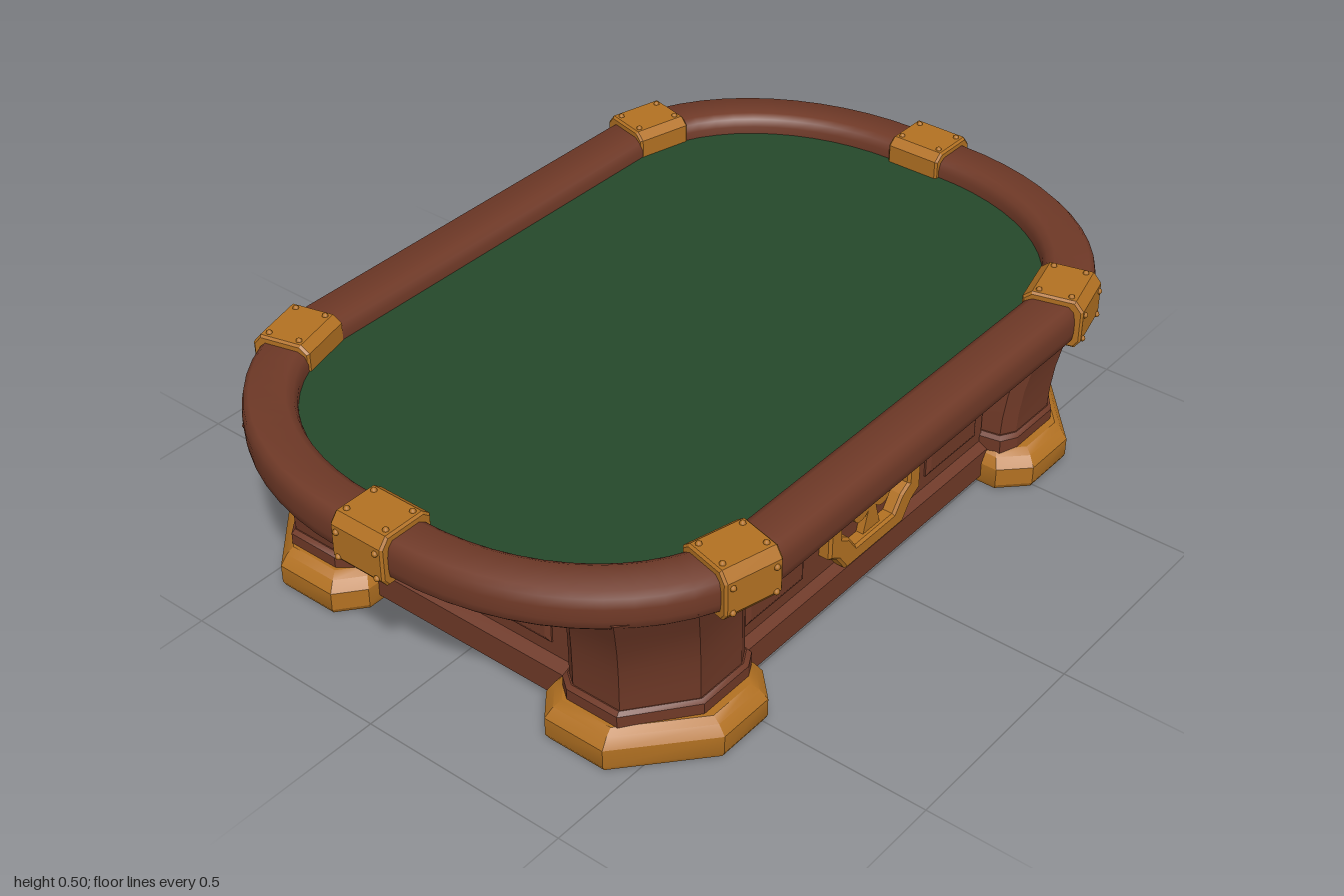
import * as THREE from 'three';
import { toCreasedNormals } from 'three/addons/utils/BufferGeometryUtils.js';

const mat = (name, color) => Object.assign(new THREE.MeshStandardMaterial({ color }), { name });

// Loft through rings of [x, z] points, each ring at its own y; counter-clockwise seen from above
function loft(rings, caps = true, crease = 0.6) {
  const n = rings[0].pts.length, pos = [], idx = [];
  rings.forEach(({ y, pts }) => pts.forEach(([x, z]) => pos.push(x, y, z)));
  for (let r = 0; r < rings.length - 1; r++) {
    for (let i = 0; i < n; i++) {
      const j = (i + 1) % n, a = r * n + i, b = r * n + j;
      idx.push(a, b, b + n, a, b + n, a + n);
    }
  }
  if (caps) {
    const top = (rings.length - 1) * n;
    for (let i = 1; i < n - 1; i++) idx.push(0, i + 1, i, top, top + i, top + i + 1);
  }
  const g = new THREE.BufferGeometry();
  g.setAttribute('position', new THREE.Float32BufferAttribute(pos, 3));
  g.setIndex(idx);
  return toCreasedNormals(g, crease);
}

// Mirror a corner outline into another quadrant, keeping its winding
const quadrant = (pts, sx, sz) => {
  const m = pts.map(([x, z]) => [x * sx, z * sz]);
  return sx * sz < 0 ? m.reverse() : m;
};
const scaled = (pts, s, cx = 0.41, cz = 0.6) => pts.map(([x, z]) => [cx + (x - cx) * s, cz + (z - cz) * s]);

// Rounded table outline: t = 0 is the inner edge of the rail, t = 1 the outer edge
function outline(t) {
  const corner = [], rx = 0.465 + 0.12 * t, rz = 0.367 + 0.11 * t;
  for (let i = 0; i <= 14; i++) {
    const a = (i / 14) * Math.PI / 2;
    corner.push([0.07 + rx * Math.sin(a), 0.5 + rz * Math.cos(a)]);
  }
  return [[1, 1], [1, -1], [-1, -1], [-1, 1]].flatMap(([sx, sz]) => quadrant(corner, sx, sz));
}

export function createModel() {
  const root = new THREE.Group();
  root.name = 'cardTable';
  const wood = mat('wood', 0x6f3927), brass = mat('brass', 0xb27122), felt = mat('felt', 0x25482a);
  const add = (name, geo, material, parent = root) => {
    const m = new THREE.Mesh(geo, material);
    m.name = name;
    parent.add(m);
    return m;
  };

  // Padded rail
  const section = [[0.04, 0.398], [0.92, 0.395], [0.98, 0.402], [1, 0.42], [1, 0.448], [0.96, 0.47], [0.86, 0.481],
    [0.2, 0.481], [0.06, 0.472], [0, 0.455], [0, 0.41], [0.04, 0.398]];
  add('rail', loft(section.map(([t, y]) => ({ y, pts: outline(t) })), false, 0.8), wood);

  // Playing surface
  const top = outline(0.08);
  add('playingSurface', loft([{ y: 0.415, pts: top }, { y: 0.437, pts: top }]), felt);

  // Body: eight-sided box with skirting and flared cornice
  const octagon = (x, z) => [[1, 1], [1, -1], [-1, -1], [-1, 1]]
    .flatMap(([sx, sz]) => quadrant([[0.28, z], [x, 0.45]], sx, sz));
  const walls = [[0.02, 0.51, 0.72], [0.085, 0.51, 0.72], [0.1, 0.49, 0.695], [0.31, 0.49, 0.695],
    [0.32, 0.505, 0.715], [0.36, 0.515, 0.725], [0.415, 0.55, 0.76]];
  add('body', loft(walls.map(([y, x, z]) => ({ y, pts: octagon(x, z) })), true, 0.3), wood);
  add('underside', loft([0.016, 0.02].map(y => ({ y, pts: octagon(0.505, 0.715) }))), felt);

  // Raised wall panels
  const panel = new THREE.ExtrudeGeometry(
    new THREE.Shape([[-0.085, -0.06], [0.085, -0.06], [0.085, 0.06], [-0.085, 0.06]].map(p => new THREE.Vector2(...p))),
    { depth: 0.004, bevelSize: 0.012, bevelThickness: 0.006, bevelSegments: 1 });
  for (const s of [1, -1]) {
    for (const k of [1, -1]) {
      const end = add('endPanel', panel, wood);
      end.position.set(k * 0.125, 0.205, s * 0.695);
      end.rotation.y = s > 0 ? 0 : Math.PI;
      const side = add('sidePanel', panel, wood);
      side.position.set(s * 0.49, 0.205, k * 0.32);
      side.rotation.y = s * Math.PI / 2;
    }
  }

  // Corner feet, plinths and flared columns
  const foot = [[0.25, 0.66], [0.25, 0.75], [0.3, 0.812], [0.45, 0.812], [0.61, 0.63], [0.61, 0.49], [0.55, 0.43], [0.46, 0.43]];
  const column = [[0.28, 0.65], [0.3, 0.735], [0.33, 0.758], [0.45, 0.758], [0.55, 0.63], [0.55, 0.5], [0.53, 0.465], [0.45, 0.45]];
  const flare = [[0.11, 0], [0.17, 0.04], [0.23, 0.14], [0.29, 0.33], [0.35, 0.65], [0.41, 1]];
  for (const sx of [1, -1]) {
    for (const sz of [1, -1]) {
      const corner = new THREE.Group();
      corner.name = 'cornerLeg';
      root.add(corner);
      const build = (name, rings, m, crease) =>
        add(name, loft(rings.map(([y, p]) => ({ y, pts: quadrant(p, sx, sz) })), true, crease), m, corner);
      build('foot', [[0, scaled(foot, 0.97)], [0.012, foot], [0.055, foot], [0.078, scaled(foot, 0.92)],
        [0.09, scaled(foot, 0.84)]], brass, 0.5);
      build('plinth', [[0.08, scaled(column, 1.08)], [0.116, scaled(column, 1.08)], [0.124, scaled(column, 1.02)]], wood, 0.5);
      build('column', flare.map(([y, f]) => [y, column.map(([x, z]) => [x + 0.05 * f, z + 0.07 * f])]), wood, 0.5);
    }
  }

  // Brass clamps around the rail, with rivets
  const clampShape = new THREE.Shape([[-0.062, 0.385], [0.055, 0.385], [0.066, 0.4], [0.066, 0.472], [0.05, 0.492],
    [-0.045, 0.492], [-0.062, 0.478]].map(p => new THREE.Vector2(...p)));
  const clampGeo = new THREE.ExtrudeGeometry(clampShape,
    { depth: 0.128, bevelSize: 0.005, bevelThickness: 0.005, bevelSegments: 1 });
  clampGeo.translate(0, 0, -0.064).rotateY(-Math.PI / 2);
  const rivet = new THREE.SphereGeometry(0.007, 8, 6);
  const tilt = 0.25, places = [[0, 0.922, 0], [0, -0.922, Math.PI]];
  for (const s of [1, -1]) {
    places.push([s * 0.583, 0.58, s * (Math.PI / 2 - tilt)], [s * 0.583, -0.58, s * (Math.PI / 2 + tilt)]);
  }
  for (const [x, z, angle] of places) {
    const clamp = new THREE.Group();
    clamp.name = 'railClamp';
    clamp.position.set(x, 0, z);
    clamp.rotation.y = angle;
    root.add(clamp);
    add('clampBand', clampGeo, brass, clamp);
    for (const k of [1, -1]) {
      for (const [y, r] of [[0.497, -0.035], [0.497, 0.038], [0.46, 0.071], [0.4, 0.071]]) {
        add('rivet', rivet, brass, clamp).position.set(k * 0.052, y, r);
      }
    }
  }

  // Side medallions: notched frame with a spade
  const ring = (w, h, c) => [[w, h - c], [w - c * 0.5, h - c * 0.7], [w - c, h], [c - w, h], [c * 0.5 - w, h - c * 0.7], [-w, h - c],
    [-w, c - h], [c * 0.5 - w, c * 0.7 - h], [c - w, -h], [w - c, -h], [w - c * 0.5, c * 0.7 - h], [w, c - h]]
    .map(p => new THREE.Vector2(...p));
  const frame = new THREE.Shape(ring(0.158, 0.121, 0.058));
  frame.holes.push(new THREE.Path(ring(0.126, 0.092, 0.055)));
  const frameGeo = new THREE.ExtrudeGeometry(frame,
    { depth: 0.024, bevelSize: 0.006, bevelThickness: 0.006, bevelSegments: 1 });

  const spade = new THREE.Shape();
  spade.moveTo(0, 0.075);
  spade.bezierCurveTo(0.015, 0.045, 0.065, 0.025, 0.065, -0.008);
  spade.bezierCurveTo(0.065, -0.038, 0.03, -0.04, 0.014, -0.022);
  spade.lineTo(0.03, -0.075);
  spade.lineTo(-0.03, -0.075);
  spade.lineTo(-0.014, -0.022);
  spade.bezierCurveTo(-0.03, -0.04, -0.065, -0.038, -0.065, -0.008);
  spade.bezierCurveTo(-0.065, 0.025, -0.015, 0.045, 0, 0.075);
  const spadeGeo = new THREE.ExtrudeGeometry(spade, { depth: 0.018, bevelEnabled: false, curveSegments: 8 });
  for (const s of [1, -1]) {
    const medallion = new THREE.Group();
    medallion.name = 'medallion';
    medallion.position.set(s * 0.49, 0.222, 0);
    medallion.rotation.y = s * Math.PI / 2;
    root.add(medallion);
    add('medallionFrame', frameGeo, brass, medallion);
    add('spade', spadeGeo, brass, medallion).position.y = -0.01;
  }
  return root;
}
